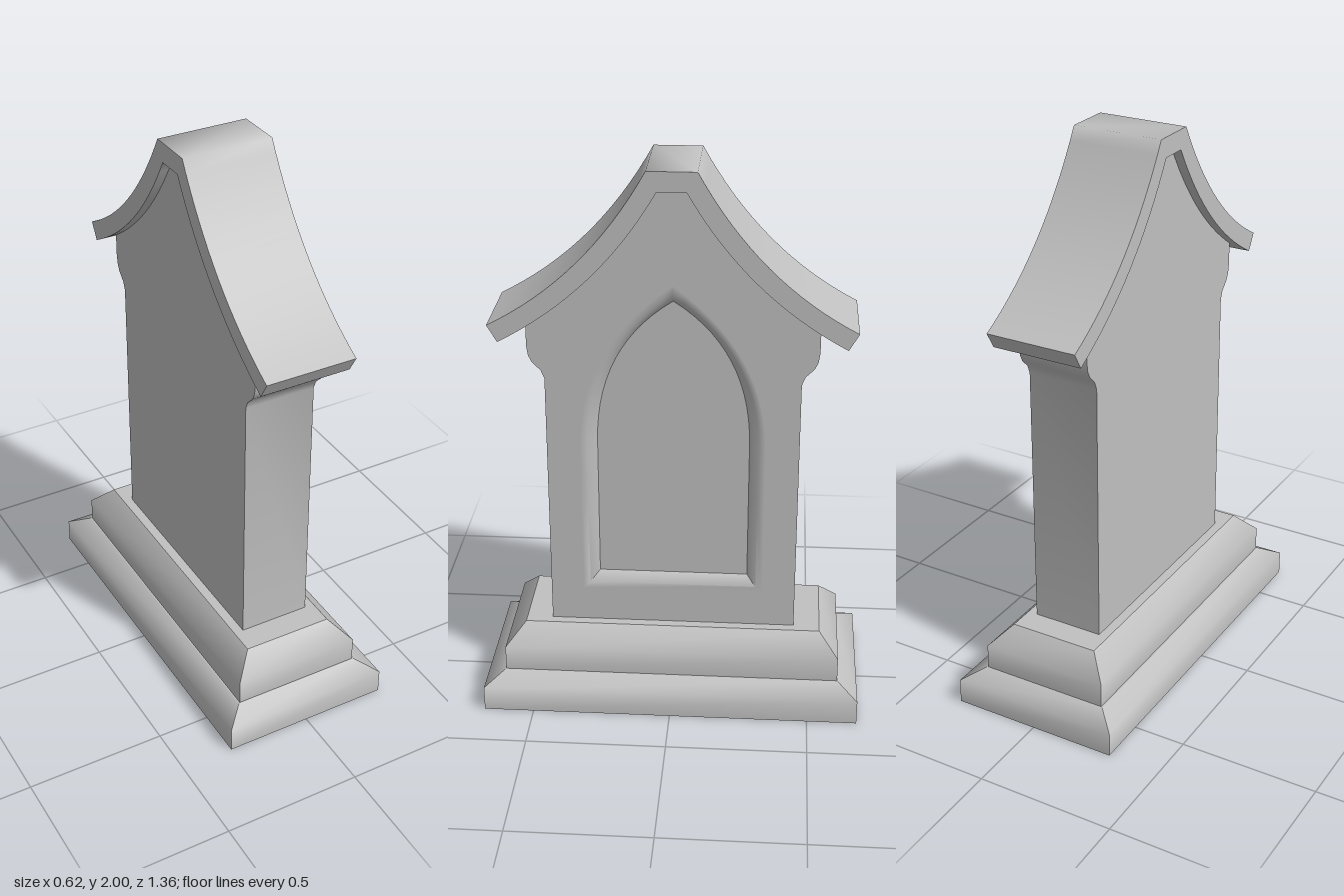
import * as THREE from 'three';
import { mergeGeometries, toCreasedNormals } from 'three/addons/utils/BufferGeometryUtils.js';

const V2 = (x, y) => new THREE.Vector2(x, y);
const at = (points, z) => points.map(p => new THREE.Vector3(p.x, p.y, z));
const curve = (a, b, c, n) => new THREE.QuadraticBezierCurve(V2(...a), V2(...b), V2(...c)).getPoints(n);
// full counter-clockwise outline from its right half, listed bottom to top
const mirror = half => [...half, ...half.filter(p => p.x > 1e-6).reverse().map(p => V2(-p.x, p.y))];

// skin between successive rows of points
function bridge(rows, closed = false) {
  const n = rows[0].length, index = [];
  for (let r = 0; r < rows.length - 1; r++) {
    for (let i = 0; i < (closed ? n : n - 1); i++) {
      const j = (i + 1) % n;
      const a = r * n + i, b = r * n + j, c = b + n, d = a + n;
      index.push(a, b, c, a, c, d);
    }
  }
  const g = new THREE.BufferGeometry().setFromPoints(rows.flat());
  g.setIndex(index);
  g.computeVertexNormals();
  return g;
}

// plinth step: levels are [half width, half length, height], mitred at the corners
function tier(levels) {
  const rings = levels.map(([x, z, y]) =>
    [[x, z], [x, -z], [-x, -z], [-x, z]].map(([px, pz]) => new THREE.Vector3(px, y, pz)));
  const parts = [0, 1, 2, 3].map(i => bridge(rings.map(r => [r[i], r[(i + 1) % 4]])));
  const t = rings[rings.length - 1], b = rings[0];
  parts.push(bridge([[t[0], t[1]], [t[3], t[2]]]), bridge([[b[1], b[0]], [b[2], b[3]]]));
  return mergeGeometries(parts);
}

// pointed arch outline
const arch = (w, bottom, apex) =>
  mirror([V2(w, bottom), V2(w, 0.8), ...curve([w, 1.0], [w, 1.36], [0, apex], 14)]);

export function createModel() {
  const stone = new THREE.MeshStandardMaterial({ color: 0xc0c0c0 });
  stone.name = 'grey stone';
  const model = new THREE.Group();
  model.name = 'stoneMarker';
  const add = (parent, name, geometry) => {
    const mesh = new THREE.Mesh(geometry, stone);
    mesh.name = name;
    parent.add(mesh);
  };

  // stepped plinth
  add(model, 'lowerPlinth', tier([[0.31, 0.68, 0], [0.31, 0.68, 0.09], [0.24, 0.61, 0.13]]));
  add(model, 'upperPlinth', tier([[0.235, 0.607, 0.13], [0.235, 0.607, 0.22], [0.165, 0.537, 0.295]]));

  // upright parts are drawn in XY and turned so the niche faces +x
  const upright = new THREE.Group();
  upright.name = 'upright';
  upright.rotation.y = Math.PI / 2;
  model.add(upright);

  // slab with flared shoulders, its top tucked just inside the roof
  const under = curve([0.595, 1.395], [0.25, 1.58], [0.05, 1.93], 16);
  const outline = mirror([
    V2(0.443, 0.295), V2(0.443, 1.25), V2(0.455, 1.28), V2(0.485, 1.31), V2(0.497, 1.335), V2(0.502, 1.37),
    V2(0.502, 1.46), ...under.filter(p => p.x < 0.48).map(p => V2(p.x, p.y + 0.015)),
  ]);
  const half = 0.13, depth = 0.04;
  add(upright, 'slabSides', toCreasedNormals(bridge([at(outline, -half), at(outline, half)], true), 0.8));
  add(upright, 'slabBack', new THREE.ShapeGeometry(new THREE.Shape(outline)).rotateY(Math.PI).translate(0, 0, -half));

  // niche with a softened rim and sloping walls
  const soft = arch(0.325, 0.425, 1.6), rim = arch(0.3, 0.45, 1.565), inner = arch(0.268, 0.48, 1.53);
  const face = new THREE.Shape(outline);
  face.holes.push(new THREE.Path(soft));
  add(upright, 'slabFace', new THREE.ShapeGeometry(face).translate(0, 0, half));
  add(upright, 'nicheWalls', toCreasedNormals(
    bridge([at(soft, half), at(rim, half), at(inner, half - depth)], true), 1.05));
  add(upright, 'nichePanel', new THREE.ShapeGeometry(new THREE.Shape(inner)).translate(0, 0, half - depth));

  // swept roof with a flat ridge
  const over = curve([0.63, 1.455], [0.29, 1.63], [0.085, 2.0], 16);
  const flip = p => V2(-p.x, p.y);
  const roof = new THREE.Shape([
    ...over, ...[...over].reverse().map(flip),
    ...under.map(flip), ...[...under].reverse(),
  ]);
  const roofGeometry = new THREE.ExtrudeGeometry(roof, { depth: 0.33, bevelEnabled: false }).translate(0, 0, -0.165);
  add(upright, 'roof', toCreasedNormals(roofGeometry, 1.2));

  return model;
}
